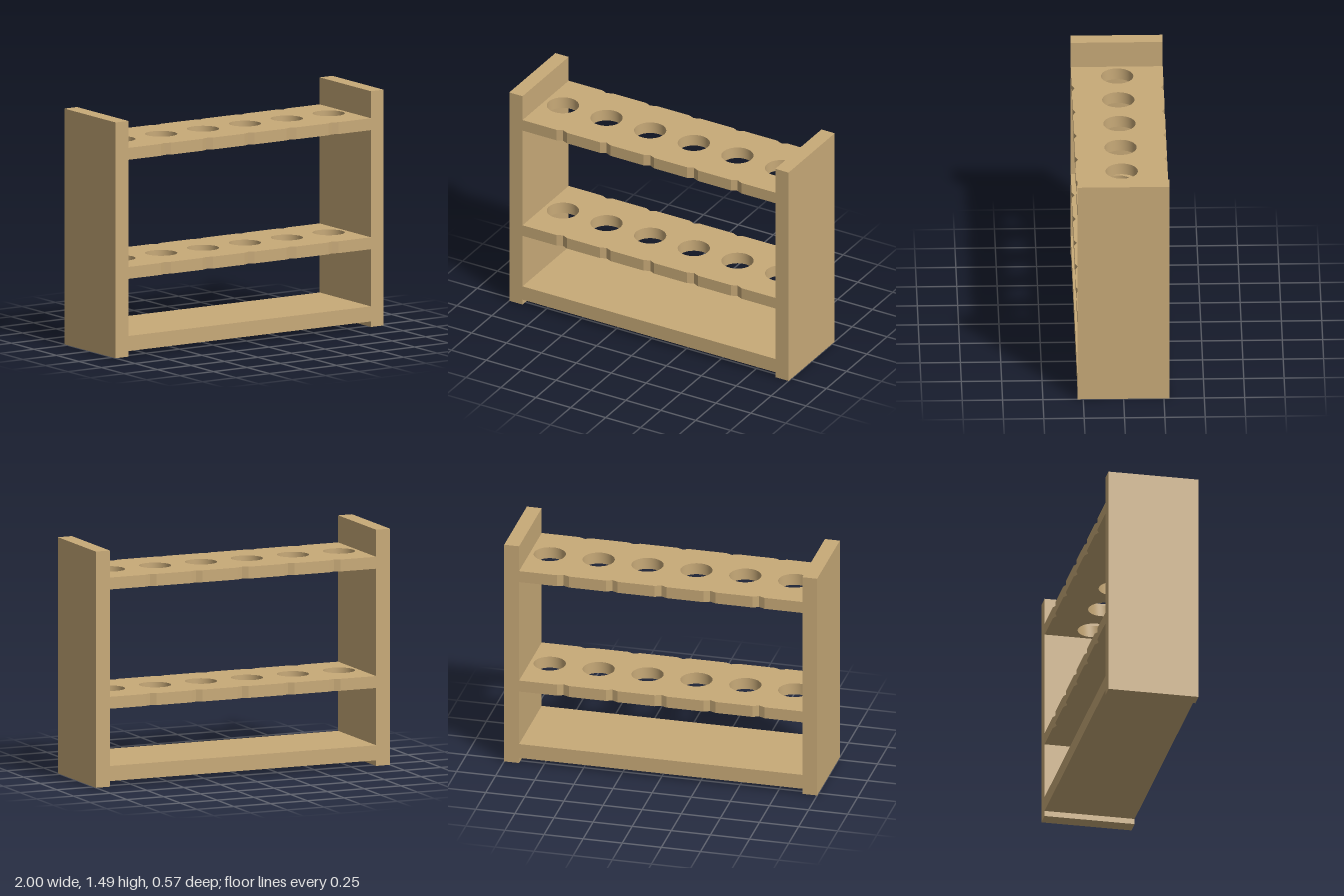
import * as THREE from 'three';
import { toCreasedNormals } from 'three/addons/utils/BufferGeometryUtils.js';

const HALF_DEPTH = 0.285;
const INNER = 0.905; // inner face of the end panels
const PITCH = 0.3125; // spacing of the tube holes
const HOLE_RADIUS = 0.1;
const NOTCH_HALF = 0.038;
const NOTCH_DEPTH = 0.017;

// Shelf with six round holes and V notches between them on both long edges
function shelfGeometry(thickness) {
  const shape = new THREE.Shape();
  shape.moveTo(-INNER, -HALF_DEPTH);
  for (const s of [1, -1]) {
    for (let i = -2; i <= 2; i++) {
      const x = i * PITCH;
      shape.lineTo(s * (x - NOTCH_HALF), -s * HALF_DEPTH);
      shape.lineTo(s * x, -s * (HALF_DEPTH - NOTCH_DEPTH));
      shape.lineTo(s * (x + NOTCH_HALF), -s * HALF_DEPTH);
    }
    shape.lineTo(s * INNER, -s * HALF_DEPTH);
    shape.lineTo(s * INNER, s * HALF_DEPTH);
  }
  for (let i = 0; i < 6; i++) {
    const hole = new THREE.Path();
    hole.absarc((i - 2.5) * PITCH, 0, HOLE_RADIUS, 0, Math.PI * 2, true);
    shape.holes.push(hole);
  }
  const geometry = new THREE.ExtrudeGeometry(shape, {
    depth: thickness, bevelEnabled: false, curveSegments: 24,
  });
  geometry.rotateX(-Math.PI / 2);
  return toCreasedNormals(geometry, 0.35);
}

export function createModel() {
  const group = new THREE.Group();
  const wood = new THREE.MeshStandardMaterial({ color: 0xc8aa78 });

  const add = (name, geometry, x, y) => {
    const mesh = new THREE.Mesh(geometry, wood);
    mesh.name = name;
    mesh.position.set(x, y, 0);
    group.add(mesh);
  };

  // End panels
  const height = 1.485;
  const width = 1 - INNER;
  const panel = new THREE.BoxGeometry(width, height, HALF_DEPTH * 2);
  add('leftPanel', panel, INNER + width / 2, height / 2);
  add('rightPanel', panel, -INNER - width / 2, height / 2);

  // Solid base board, raised slightly off the ground
  add('baseBoard', new THREE.BoxGeometry(INNER * 2, 0.095, HALF_DEPTH * 2), 0, 0.0825);

  // Two perforated shelves
  const shelf = shelfGeometry(0.075);
  add('lowerShelf', shelf, 0, 0.49);
  add('upperShelf', shelf, 0, 1.24);

  return group;
}
